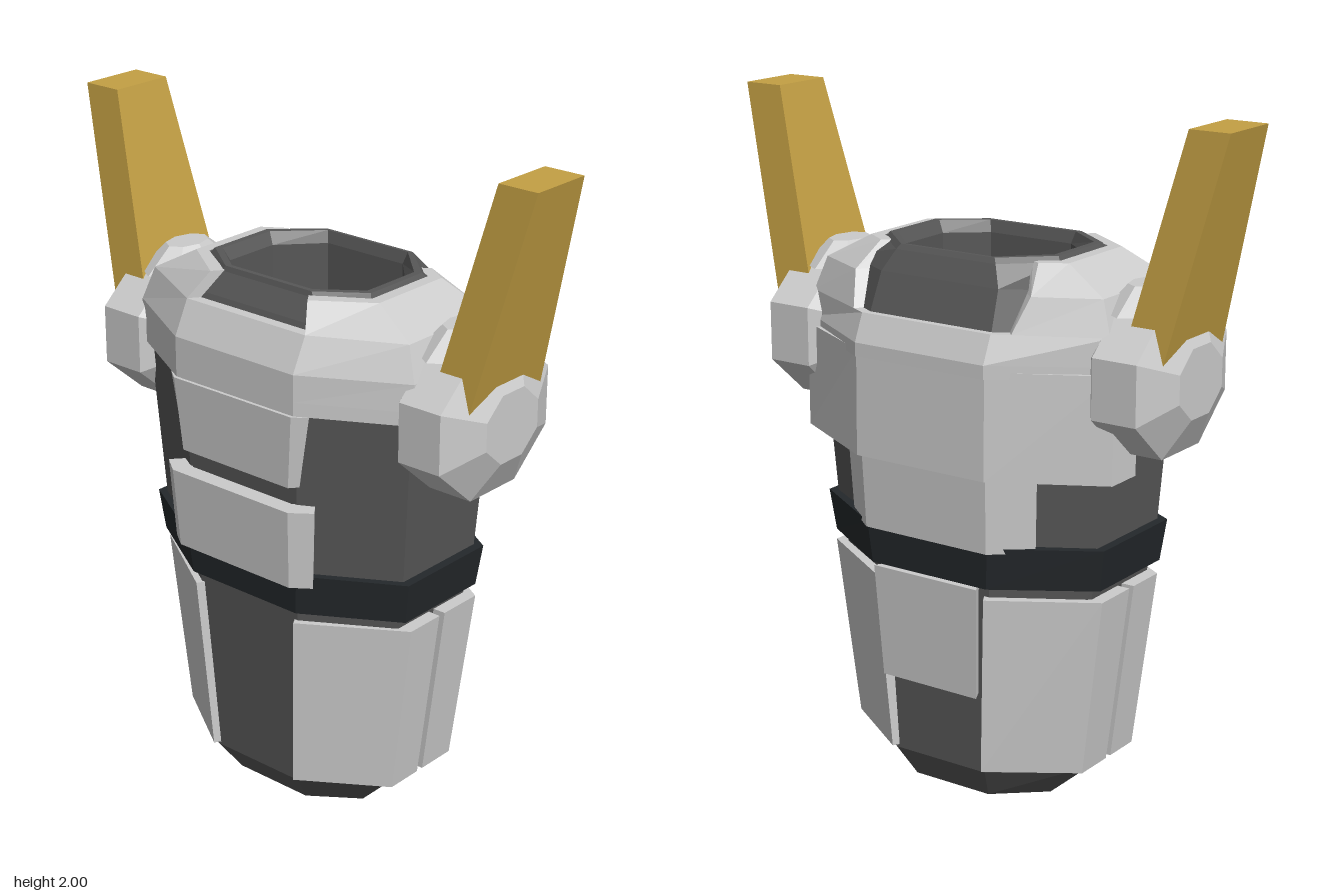
import * as THREE from 'three';

const material = (color) => new THREE.MeshStandardMaterial({ color, flatShading: true });
const light = material(0xcccccc), dark = material(0x575757), black = material(0x24282b), gold = material(0xc4a044);

// Collects quads into a flat-faceted mesh
function quadMesh(name, mat, quads) {
  const pos = [];
  for (const [a, b, c, d] of quads) pos.push(...a, ...b, ...c, ...a, ...c, ...d);
  const geo = new THREE.BufferGeometry();
  geo.setAttribute('position', new THREE.Float32BufferAttribute(pos, 3));
  geo.computeVertexNormals();
  const mesh = new THREE.Mesh(geo, mat);
  mesh.name = name;
  return mesh;
}

// Quads joining successive rows of points
function loft(rows, closedU, closedV) {
  const quads = [], m = rows.length, n = rows[0].length;
  for (let i = 0; i < (closedV ? m : m - 1); i++) {
    const lo = rows[i], hi = rows[(i + 1) % m];
    for (let j = 0; j < (closedU ? n : n - 1); j++) {
      const k = (j + 1) % n;
      quads.push([lo[j], lo[k], hi[k], hi[j]]);
    }
  }
  return quads;
}

// Elongated octagon: half width, front and back depth, corner positions
const ring = (y, hx, zf, zb, cx, cz) => [
  [-cx, y, zf], [cx, y, zf], [hx, y, cz], [hx, y, -cz],
  [cx, y, zb], [-cx, y, zb], [-hx, y, -cz], [-hx, y, cz],
];

const row = (y, pts) => pts.map(([x, z]) => [x, y, z]);
const mirrorRow = (pts) => pts.map(([x, y, z]) => [-x, y, z]).reverse();
// Completes a row given its +x half, running from the front centre or from the back centre
const frontRow = (y, half) => { const r = row(y, half); return [...mirrorRow(r), ...r]; };
const backRow = (y, half) => { const r = row(y, half); return [...r, ...mirrorRow(r)]; };

// Thick plate: outer rows from bottom to top, thickened towards the axis
function plate(name, mat, rows, t, closed = false) {
  const inner = rows.map((r) => r.map(([x, y, z]) => {
    const s = 1 - t / Math.hypot(x, z);
    return [x * s, y, z * s];
  }));
  const quads = loft([...rows, ...inner.slice().reverse()], closed, true);
  if (!closed) {
    const e = rows[0].length - 1;
    for (let i = 0; i < rows.length - 1; i++) {
      quads.push([rows[i][0], rows[i + 1][0], inner[i + 1][0], inner[i][0]]);
      quads.push([rows[i][e], inner[i][e], inner[i + 1][e], rows[i + 1][e]]);
    }
  }
  return quadMesh(name, mat, quads);
}

export function createModel() {
  const group = new THREE.Group();

  // Dark core with closed base and open collar
  group.add(quadMesh('torsoCore', dark, loft([
    ring(0, 0, 0, 0, 0, 0),
    ring(0, 0.27, 0.20, -0.22, 0.13, 0.10),
    ring(0.10, 0.36, 0.27, -0.28, 0.16, 0.13),
    ring(0.69, 0.44, 0.30, -0.30, 0.19, 0.15),
    ring(0.815, 0.46, 0.31, -0.31, 0.20, 0.16),
    ring(1.31, 0.495, 0.33, -0.34, 0.21, 0.18),
    ring(1.40, 0.48, 0.31, -0.325, 0.21, 0.17),
    ring(1.54, 0.41, 0.25, -0.27, 0.20, 0.15),
    ring(1.60, 0.30, 0.21, -0.24, 0.17, 0.12),
    ring(1.615, 0.29, 0.205, -0.23, 0.16, 0.11),
    ring(1.615, 0.27, 0.19, -0.22, 0.15, 0.10),
    ring(1.58, 0.25, 0.18, -0.21, 0.14, 0.09),
    ring(1.15, 0.25, 0.18, -0.21, 0.14, 0.09),
  ], true, false)));

  // Belt
  group.add(plate('belt', black, [
    ring(0.69, 0.47, 0.32, -0.33, 0.20, 0.16),
    ring(0.815, 0.487, 0.33, -0.34, 0.21, 0.17),
  ], 0.06, true));

  // Shoulder armour: full band, then a collar open at the back
  group.add(plate('shoulderBand', light, [
    ring(1.31, 0.515, 0.35, -0.37, 0.22, 0.19),
    ring(1.35, 0.515, 0.35, -0.37, 0.22, 0.19),
    ring(1.43, 0.51, 0.35, -0.335, 0.22, 0.19),
  ], 0.04, true));
  group.add(plate('shoulderSlope', light, [
    frontRow(1.43, [[0.22, 0.35], [0.51, 0.19], [0.51, -0.19], [0.27, -0.31]]),
    frontRow(1.53, [[0.22, 0.30], [0.475, 0.17], [0.475, -0.17], [0.30, -0.26]]),
  ], 0.04));
  const collar = [
    row(1.53, [[0.22, 0.30], [0.475, 0.17], [0.475, -0.17], [0.30, -0.26]]),
    row(1.605, [[0.18, 0.245], [0.34, 0.135], [0.34, -0.135], [0.27, -0.18]]),
  ];
  group.add(plate('leftCollarPlate', light, collar, 0.04));
  group.add(plate('rightCollarPlate', light, collar.map(mirrorRow), 0.04));

  // Chest and back plates
  group.add(plate('chestPlate', light, [
    frontRow(1.09, [[0.20, 0.35], [0.22, 0.325]]),
    frontRow(1.31, [[0.22, 0.36], [0.26, 0.33]]),
  ], 0.05));
  group.add(plate('abdomenPlate', light, [
    frontRow(0.79, [[0.21, 0.36], [0.265, 0.32]]),
    frontRow(1.03, [[0.22, 0.375], [0.28, 0.33]]),
  ], 0.06));
  group.add(plate('backPlate', light, [
    backRow(1.02, [[0.53, -0.08], [0.53, -0.20], [0.22, -0.37]]),
    backRow(1.33, [[0.53, -0.08], [0.53, -0.20], [0.22, -0.365]]),
  ], 0.06));
  group.add(plate('lowerBackPlate', light, [
    backRow(0.80, [[0.32, -0.26], [0.21, -0.345]]),
    backRow(1.03, [[0.33, -0.27], [0.215, -0.355]]),
  ], 0.05));
  group.add(plate('waistBackPlate', light, [
    backRow(0.35, [[0.165, -0.33]]),
    backRow(0.69, [[0.18, -0.35]]),
  ], 0.06));

  // Lower side plates, front and back
  const frontSide = [
    row(0.11, [[0.16, 0.29], [0.405, 0.13], [0.405, 0.012]]),
    row(0.655, [[0.19, 0.32], [0.475, 0.14], [0.475, 0.012]]),
  ];
  const backSide = [
    row(0.11, [[0.405, -0.012], [0.405, -0.14], [0.16, -0.30]]),
    row(0.655, [[0.475, -0.012], [0.475, -0.155], [0.19, -0.33]]),
  ];
  for (const [name, rows] of [['FrontSidePlate', frontSide], ['BackSidePlate', backSide]]) {
    group.add(plate('left' + name, light, rows, 0.05));
    group.add(plate('right' + name, light, rows.map(mirrorRow), 0.05));
  }

  // Shoulder joints and horns
  const octagon = (x, r) => Array.from({ length: 8 }, (_, i) => {
    const a = (i + 0.5) * Math.PI / 4, k = r / Math.cos(Math.PI / 8);
    return [x, 1.3 + Math.cos(a) * k, -0.01 + Math.sin(a) * k * 1.14];
  });
  const jointRows = [octagon(0.44, 0), octagon(0.44, 0.15), octagon(0.49, 0.21),
    octagon(0.63, 0.21), octagon(0.69, 0.10), octagon(0.69, 0)];
  const hornRows = [[1.36, 0.53, 0.66, 0.15, -0.17], [2, 0.69, 0.815, 0.09, -0.11]]
    .map(([y, x0, x1, zf, zb]) => row(y, [[x0, zf], [x1, zf], [x1, zb], [x0, zb]]));
  const flip = (rows) => rows.map((r) => r.map(([x, y, z]) => [-x, y, z]).reverse());
  for (const [side, s] of [['left', 1], ['right', -1]]) {
    const pick = (rows) => (s > 0 ? rows : flip(rows));
    group.add(quadMesh(side + 'ShoulderJoint', light, loft(pick(jointRows), true, false)));
    const [lo, hi] = pick(hornRows);
    group.add(quadMesh(side + 'Horn', gold,
      [...loft([lo, hi], true, false), hi, lo.slice().reverse()]));
    // Shallow cap on the joint
    const cap = new THREE.Mesh(new THREE.CylinderGeometry(0.05, 0.11, 0.07, 8), light);
    cap.name = side + 'JointCap';
    cap.scale.z = 1.5;
    cap.position.set(s * 0.52, 1.52, -0.01);
    group.add(cap);
  }
  return group;
}
